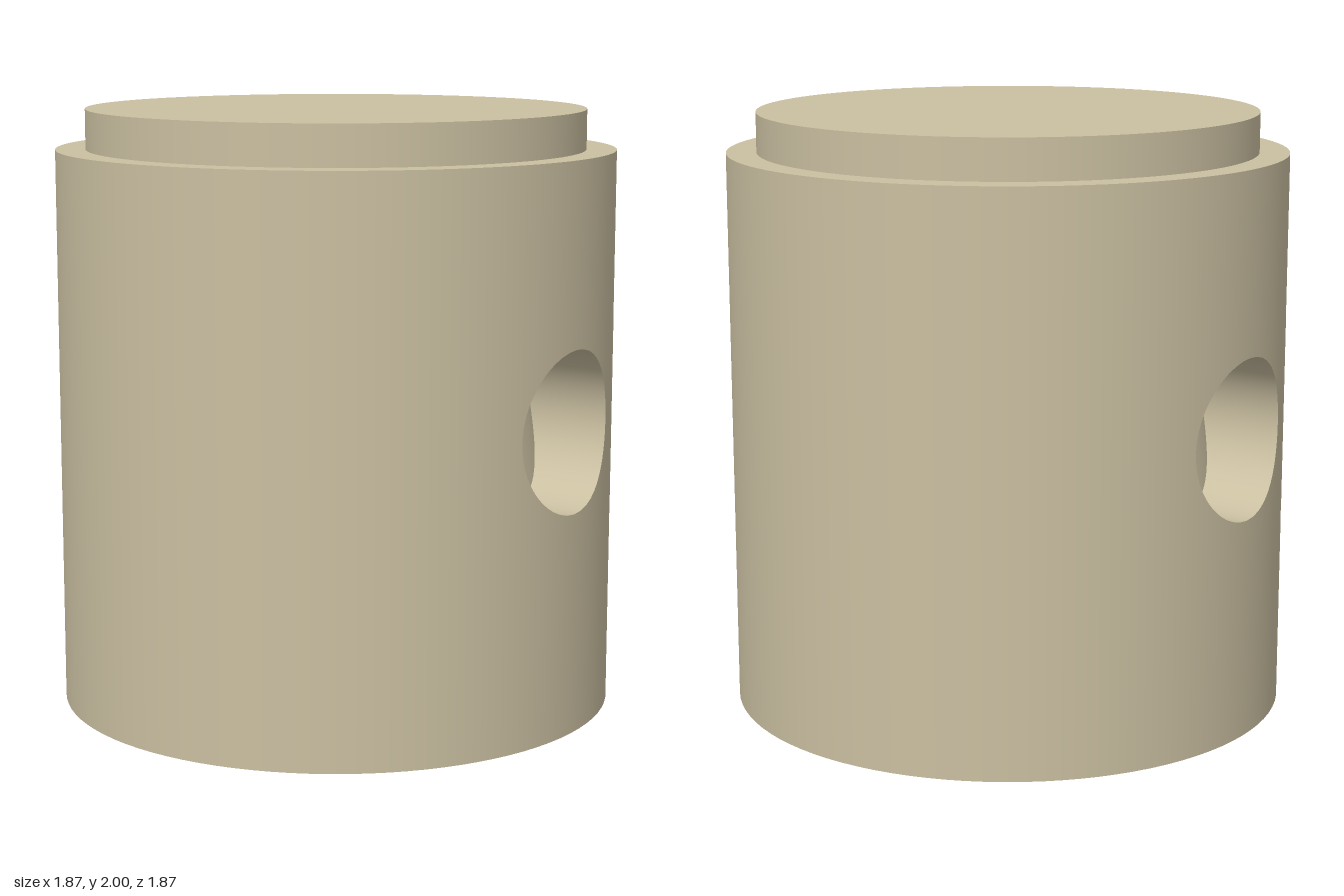
import * as THREE from 'three';

const OUTER = 0.933, INNER = 0.833;           // skirt radius, mouth and crown radius
const LEDGE = 1.867, TOP = 2;                 // heights
const CEILING = 1.4, CEILING_R = 0.6;         // end of the tapered cavity
const BORE = 0.267, PIN_Y = 1;
const SEG = 96, SIDE = 16;
const HALF_PHI = (SIDE / 2) * (2 * Math.PI / SEG), HALF_Y = 0.36;

// Wall radius by height: straight outside, tapering cavity inside
const TAPER = (CEILING_R - INNER) / CEILING;
const outerWall = { radius: () => OUTER, slope: 0, sign: 1 };
const innerWall = { radius: y => INNER + TAPER * y, slope: TAPER, sign: -1 };

const material = new THREE.MeshStandardMaterial({ color: 0xcabfa1 });

function add(parent, name, geometry) {
  const mesh = new THREE.Mesh(geometry, material);
  mesh.name = name;
  parent.add(mesh);
}

// One straight profile segment turned about y, (r, y) to (r, y)
function turned(r0, y0, r1, y1, start = 0, length = 2 * Math.PI) {
  const points = [new THREE.Vector2(r0, y0), new THREE.Vector2(r1, y1)];
  return new THREE.LatheGeometry(points, Math.round(SEG * length / (2 * Math.PI)), start, length);
}

// Quad grid over u, v in 0..1, facing du x dv; fn returns { p, n }
function grid(fn, nu, nv) {
  const positions = [], normals = [], index = [];
  for (let j = 0; j <= nv; j++) {
    for (let i = 0; i <= nu; i++) {
      const { p, n } = fn(i / nu, j / nv);
      positions.push(...p);
      normals.push(...n);
      if (i < nu && j < nv) {
        const a = j * (nu + 1) + i, d = a + nu + 1;
        index.push(a, a + 1, d, a + 1, d + 1, d);
      }
    }
  }
  const g = new THREE.BufferGeometry();
  g.setAttribute('position', new THREE.Float32BufferAttribute(positions, 3));
  g.setAttribute('normal', new THREE.Float32BufferAttribute(normals, 3));
  g.setIndex(index);
  return g;
}

// Point on the panel border (phi, y), counterclockwise, and its angle round the bore
function borderPoint(u) {
  const s = (u % 1) * 4, k = Math.floor(s), t = 2 * (s - k) - 1;
  const [sx, sy] = [[1, t], [-t, 1], [-1, -t], [t, -1]][k];
  const phi = sx * HALF_PHI, y = sy * HALF_Y;
  return { phi, y, a: Math.atan2(y, phi * OUTER) };
}

// Curved wall panel with the round bore cut out
function holedPanel({ radius, slope, sign }) {
  return grid((u, v) => {
    const w = sign > 0 ? v : 1 - v;
    const border = borderPoint(u);
    const holeY = BORE * Math.sin(border.a);
    const holePhi = Math.asin(BORE * Math.cos(border.a) / radius(PIN_Y + holeY));
    const phi = THREE.MathUtils.lerp(border.phi, holePhi, w);
    const y = PIN_Y + THREE.MathUtils.lerp(border.y, holeY, w);
    const x = Math.sin(phi), z = Math.cos(phi), R = radius(y);
    const k = sign / Math.hypot(1, slope);
    return { p: [R * x, y, R * z], n: [k * x, -k * slope, k * z] };
  }, 4 * SIDE, 8);
}

// Bore surface running from the outer wall to the cavity
function boreSurface() {
  return grid((u, v) => {
    const { a } = borderPoint(u);
    const x = BORE * Math.cos(a), y = PIN_Y + BORE * Math.sin(a);
    const depth = wall => Math.sqrt(wall.radius(y) ** 2 - x * x);
    const z = THREE.MathUtils.lerp(depth(outerWall), depth(innerWall), v);
    return { p: [x, y, z], n: [-Math.cos(a), -Math.sin(a), 0] };
  }, 4 * SIDE, 1);
}

// Wall without its two pin panels
function skirtWall(parent, name, { radius, sign }, top) {
  const band = (y0, y1, start, length) => {
    const [a, b] = sign > 0 ? [y0, y1] : [y1, y0];
    add(parent, name, turned(radius(a), a, radius(b), b, start, length));
  };
  band(0, PIN_Y - HALF_Y);
  band(PIN_Y + HALF_Y, top);
  for (const turn of [0, Math.PI]) {
    band(PIN_Y - HALF_Y, PIN_Y + HALF_Y, turn + HALF_PHI, Math.PI - 2 * HALF_PHI);
  }
}

// Wall panels and bore at one end of the pin axis
function pinEnd(name) {
  const group = new THREE.Group();
  group.name = name;
  add(group, 'outerPanel', holedPanel(outerWall));
  add(group, 'innerPanel', holedPanel(innerWall));
  add(group, 'pinBore', boreSurface());
  return group;
}

export function createModel() {
  const model = new THREE.Group();
  model.name = 'piston';

  // Skirt with a tapered cavity
  skirtWall(model, 'outerSkirt', outerWall, LEDGE);
  skirtWall(model, 'innerSkirt', innerWall, CEILING);
  add(model, 'bottomRim', turned(INNER, 0, OUTER, 0));
  add(model, 'ceiling', turned(0, CEILING, CEILING_R, CEILING));

  // Stepped crown
  add(model, 'crownLedge', turned(OUTER, LEDGE, INNER, LEDGE));
  add(model, 'crownSide', turned(INNER, LEDGE, INNER, TOP));
  add(model, 'crownTop', turned(INNER, TOP, 0, TOP));

  // Pin holes front and back
  const front = pinEnd('frontPinHole');
  const back = pinEnd('backPinHole');
  back.rotation.y = Math.PI;
  model.add(front, back);
  return model;
}
